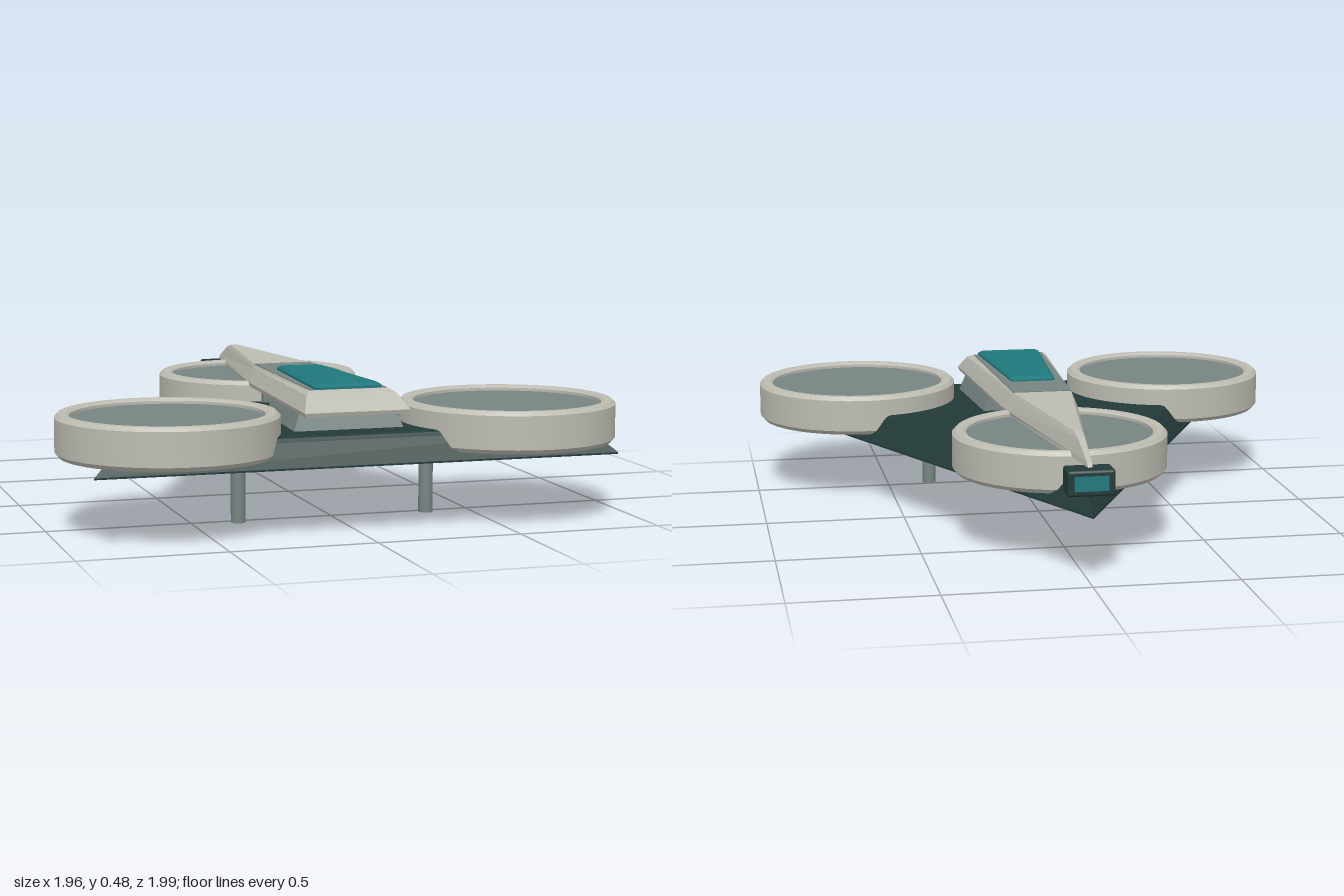
import * as THREE from 'three';
import { toCreasedNormals } from 'three/addons/utils/BufferGeometryUtils.js';
import { RoundedBoxGeometry } from 'three/addons/geometries/RoundedBoxGeometry.js';

const material = (name, color) => {
  const m = new THREE.MeshStandardMaterial({ color });
  m.name = name;
  return m;
};

// Joins outlines stacked from bottom to top; each is a loop of [x, y, z]
// running counterclockwise as seen from above.
function loft(loops) {
  const pos = [];
  const tri = (a, b, c) => pos.push(...a, ...b, ...c);
  const n = loops[0].length;
  for (let k = 0; k < loops.length - 1; k++) {
    const lo = loops[k], hi = loops[k + 1];
    for (let i = 0; i < n; i++) {
      const j = (i + 1) % n;
      tri(lo[i], lo[j], hi[j]);
      tri(lo[i], hi[j], hi[i]);
    }
  }
  const bottom = loops[0], top = loops[loops.length - 1];
  for (let i = 1; i < n - 1; i++) {
    tri(bottom[0], bottom[i + 1], bottom[i]);
    tri(top[0], top[i], top[i + 1]);
  }
  const g = new THREE.BufferGeometry();
  g.setAttribute('position', new THREE.Float32BufferAttribute(pos, 3));
  g.computeVertexNormals();
  return g;
}

// Mirrored outline from [x, y, z] points on the left side, front to back
const mirrored = (pts) => [...pts, ...pts.slice().reverse().map(([x, y, z]) => [-x, y, z])];

export function createModel() {
  const model = new THREE.Group();
  model.name = 'hoverCraft';
  const pale = material('paleShell', 0xbdbcb2);
  const dark = material('darkHull', 0x233a39);
  const grey = material('fanGrey', 0x768482);
  const teal = material('tealGlass', 0x20787c);

  const add = (parent, name, geometry, mat, x = 0, y = 0, z = 0) => {
    const mesh = new THREE.Mesh(geometry, mat);
    mesh.name = name;
    mesh.position.set(x, y, z);
    parent.add(mesh);
    return mesh;
  };

  // Triangular hull, inset towards the top
  const slope = 0.91 / 1.87;
  const sine = Math.sin(Math.atan(slope));
  const triangle = (y, inset) => {
    const front = 0.87 - inset, tip = -1 + inset / sine;
    const x = (front - tip) * slope;
    return [[x, y, front], [0, y, tip], [-x, y, front]];
  };
  add(model, 'hull', loft([
    triangle(0.23, 0), triangle(0.236, 0), triangle(0.313, 0.055),
    triangle(0.325, 0.066), triangle(0.33, 0.08),
  ]), dark);

  // Three fans: bevelled ring with a slightly sunken disc
  const profile = [
    [0.325, 0.26], [0.362, 0.26], [0.375, 0.275], [0.375, 0.39],
    [0.362, 0.403], [0.337, 0.403], [0.325, 0.395], [0.325, 0.26],
  ].map(([r, y]) => new THREE.Vector2(r, y));
  const ringGeometry = toCreasedNormals(new THREE.LatheGeometry(profile, 64), 0.5);
  const discGeometry = new THREE.CylinderGeometry(0.326, 0.326, 0.11, 64);
  for (const [name, x, z] of [['leftFan', 0.605, 0.61], ['rightFan', -0.605, 0.61], ['rearFan', 0, -0.41]]) {
    const fan = new THREE.Group();
    fan.name = name;
    fan.position.set(x, 0, z);
    add(fan, 'fanRing', ringGeometry, pale);
    add(fan, 'fanDisc', discGeometry, grey, 0, 0.33, 0);
    model.add(fan);
  }

  // Long tapering fuselage above the hull
  add(model, 'fuselage', loft([
    mirrored([[0.18, 0.388, 0.785], [0.132, 0.388, -0.05], [0.008, 0.388, -0.945]]),
    mirrored([[0.185, 0.402, 0.79], [0.135, 0.402, -0.05], [0.008, 0.402, -0.93]]),
    mirrored([[0.158, 0.453, 0.722], [0.113, 0.453, -0.06], [0.012, 0.453, -0.80]]),
    mirrored([[0.14, 0.465, 0.69], [0.106, 0.465, -0.07], [0.014, 0.465, -0.74]]),
  ]), pale);

  // Supports between hull and fuselage
  add(model, 'frontSupport', loft([
    mirrored([[0.195, 0.325, 0.7], [0.165, 0.325, 0.26]]),
    mirrored([[0.17, 0.39, 0.68], [0.14, 0.39, 0.26]]),
  ]), grey);
  add(model, 'rearSupport', new THREE.BoxGeometry(0.18, 0.07, 0.03), grey, 0, 0.36, -0.035);

  // Cockpit deck and canopy
  add(model, 'cockpitDeck', loft([
    mirrored([[0.137, 0.464, 0.685], [0.107, 0.464, -0.075]]),
    mirrored([[0.136, 0.468, 0.685], [0.106, 0.468, -0.075]]),
  ]), grey);
  add(model, 'canopy', loft([
    mirrored([[0.112, 0.467, 0.695], [0.121, 0.467, 0.68], [0.082, 0.467, 0.125], [0.07, 0.467, 0.112]]),
    mirrored([[0.112, 0.475, 0.695], [0.121, 0.475, 0.68], [0.082, 0.475, 0.125], [0.07, 0.475, 0.112]]),
    mirrored([[0.1, 0.484, 0.675], [0.108, 0.484, 0.665], [0.074, 0.484, 0.145], [0.064, 0.484, 0.135]]),
  ]), teal);

  // Tail thruster with a glowing plate at the back
  add(model, 'tailThruster', new RoundedBoxGeometry(0.16, 0.088, 0.094, 2, 0.01), dark, 0, 0.341, -0.927);
  add(model, 'thrusterPlate', new THREE.BoxGeometry(0.115, 0.05, 0.006), teal, 0, 0.341, -0.974);

  // Landing legs
  for (const side of [1, -1]) {
    add(model, side > 0 ? 'leftLeg' : 'rightLeg',
      new THREE.CylinderGeometry(0.025, 0.025, 0.24, 24), grey, side * 0.34, 0.12, 0.525);
  }
  return model;
}
